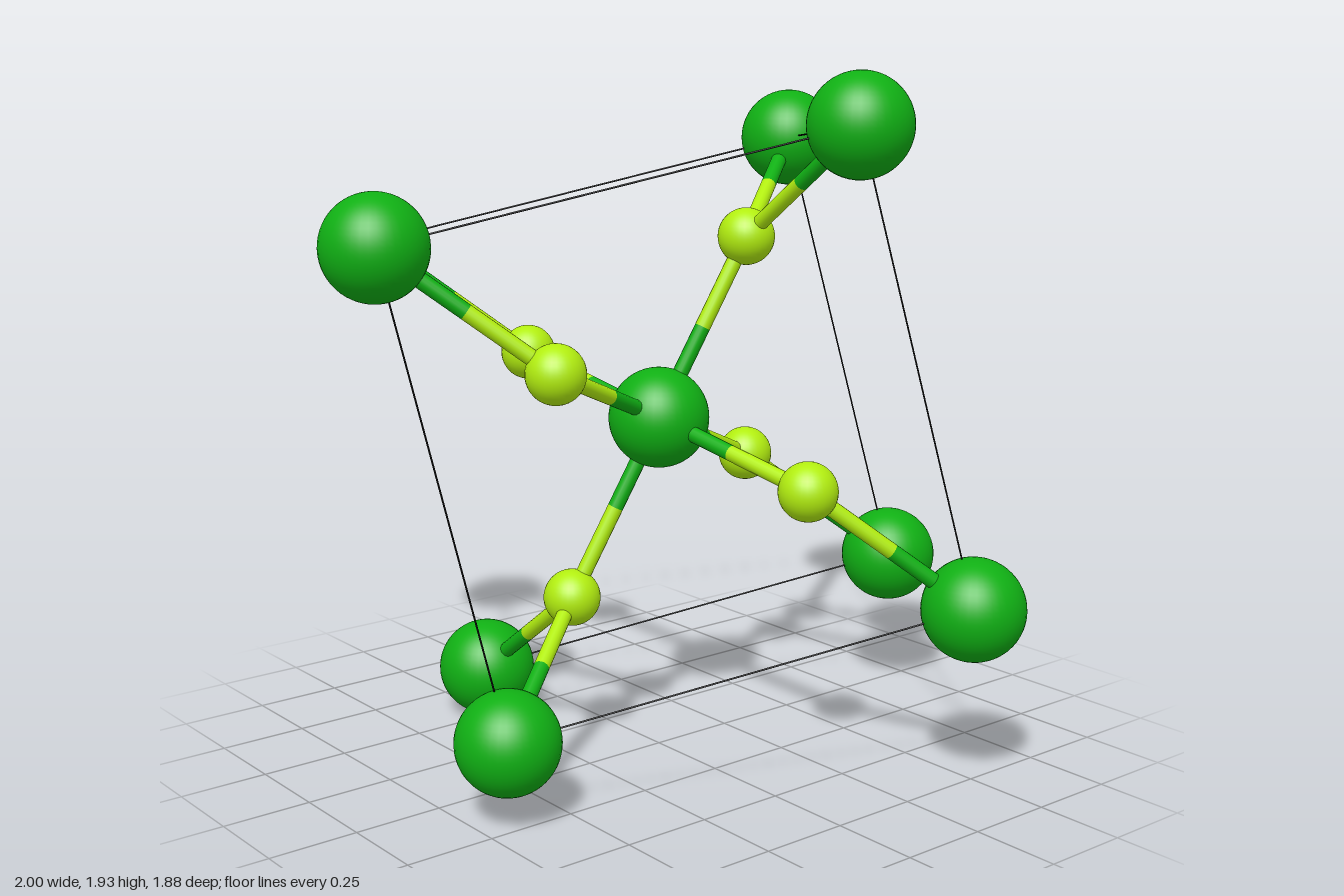
import * as THREE from 'three';

export function createModel() {
  const model = new THREE.Group();
  const green = new THREE.MeshStandardMaterial({ color: 0x10b014 });
  const lime = new THREE.MeshStandardMaterial({ color: 0xb2ee10 });
  const black = new THREE.MeshStandardMaterial({ color: 0x000000 });
  const V = (x, y, z) => new THREE.Vector3(x, y, z);

  const bigAtom = new THREE.SphereGeometry(0.141, 40, 28);
  const smallAtom = new THREE.SphereGeometry(0.08, 32, 22);

  function atom(name, geometry, material, p) {
    const mesh = new THREE.Mesh(geometry, material);
    mesh.name = name;
    mesh.position.copy(p);
    model.add(mesh);
  }

  function rod(name, a, b, radius, sides, material) {
    const dir = b.clone().sub(a);
    const mesh = new THREE.Mesh(new THREE.CylinderGeometry(radius, radius, dir.length(), sides), material);
    mesh.name = name;
    mesh.position.copy(a).lerp(b, 0.5);
    mesh.quaternion.setFromUnitVectors(V(0, 1, 0), dir.normalize());
    model.add(mesh);
  }

  // Bond in two colours, split halfway between the atoms
  function bond(big, small) {
    const mid = big.clone().lerp(small, 0.5);
    rod('bondGreenHalf', big, mid, 0.022, 16, green);
    rod('bondLimeHalf', mid, small, 0.022, 16, lime);
  }

  // Skewed unit cell: three edge vectors around a centre
  const centre = V(0, 0.969, 0);
  const edges = [V(0.425, -0.08, -0.734), V(1.093, 0.291, 0.6), V(0.199, -1.273, 0.262)];
  const corner = (i, j, k) => centre.clone()
    .addScaledVector(edges[0], i - 0.5)
    .addScaledVector(edges[1], j - 0.5)
    .addScaledVector(edges[2], k - 0.5);

  atom('centreAtom', bigAtom, green, centre);
  for (let n = 0; n < 8; n++) {
    const c = [n & 1, (n >> 1) & 1, (n >> 2) & 1];
    atom('cornerAtom', bigAtom, green, corner(...c));
    // Cell outline
    c.forEach((v, axis) => {
      if (v) return;
      const d = [...c];
      d[axis] = 1;
      rod('cellEdge', corner(...c), corner(...d), 0.0025, 6, black);
    });
  }

  // Small atoms as offsets from the centre, with the corners each one bonds to;
  // every one is repeated by inversion through the centre
  const linkers = [
    { at: V(-0.488, 0.204, 0.188), corners: [[0, 0, 0]] },
    { at: V(-0.06, 0.119, -0.546), corners: [[1, 0, 0]] },
    { at: V(0.244, 0.497, 0.085), corners: [[0, 1, 0], [1, 1, 0]] },
  ];
  for (const { at, corners } of linkers) {
    for (const s of [1, -1]) {
      const p = centre.clone().addScaledVector(at, s);
      atom('linkingAtom', smallAtom, lime, p);
      bond(centre, p);
      for (const c of corners) bond(corner(...(s > 0 ? c : c.map((v) => 1 - v))), p);
    }
  }
  return model;
}
